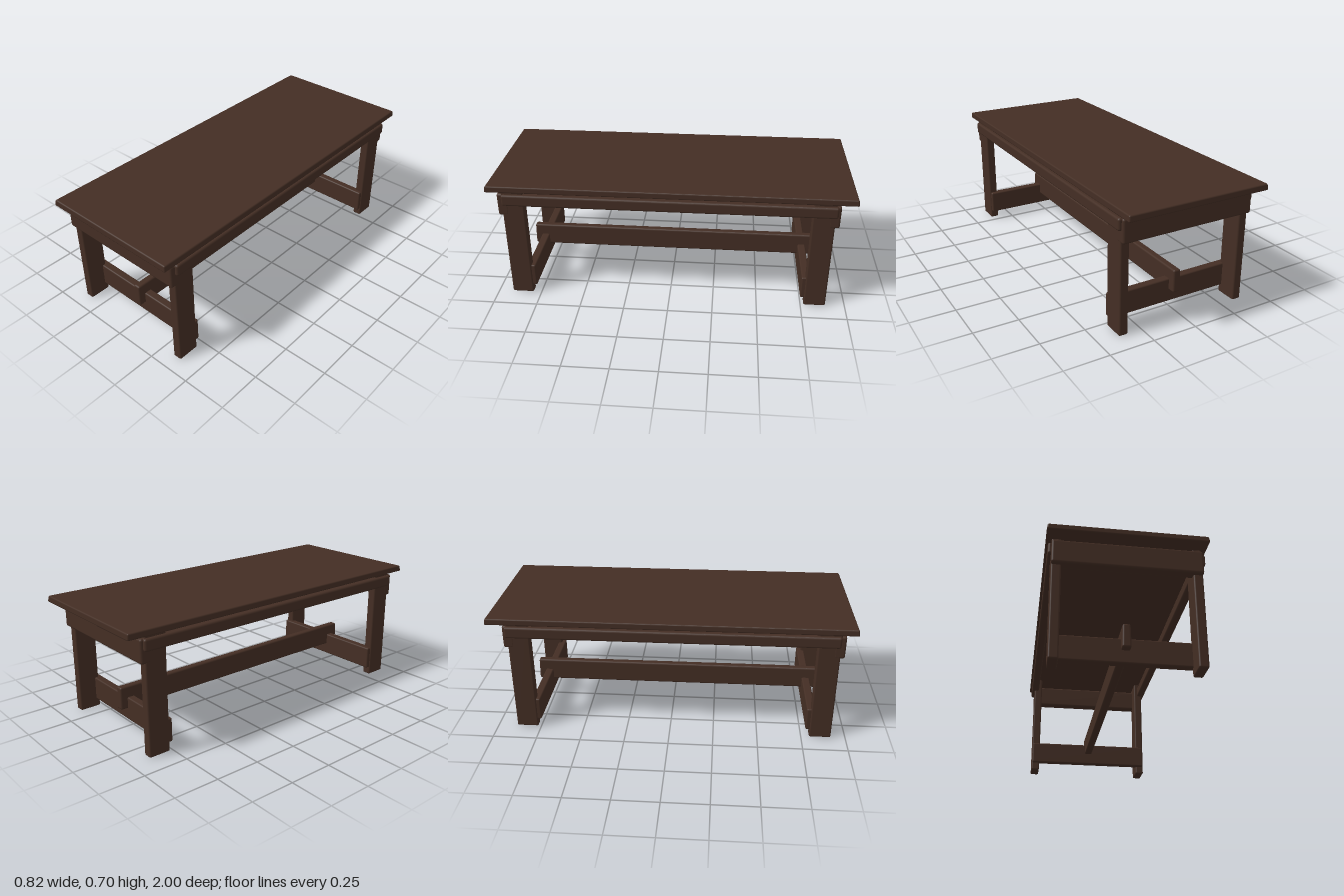
import * as THREE from 'three';
import { RoundedBoxGeometry } from 'three/addons/geometries/RoundedBoxGeometry.js';

const wood = new THREE.MeshStandardMaterial({ color: 0x442e24 });
wood.name = 'dark wood';

// A softly edged timber given by its limits on each axis; taper widens or narrows its upper end
function timber(name, [x0, x1], [y0, y1], [z0, z1], radius = 0.008, taper = 0) {
  const w = x1 - x0, h = y1 - y0, d = z1 - z0;
  const geometry = new RoundedBoxGeometry(w, h, d, 2, radius);
  const p = geometry.attributes.position;
  for (let i = 0; i < p.count; i++) {
    const t = taper * (p.getY(i) / h + 0.5);
    p.setX(i, p.getX(i) - Math.sign(p.getX(i)) * t);
    p.setZ(i, p.getZ(i) - Math.sign(p.getZ(i)) * t);
  }
  const mesh = new THREE.Mesh(geometry, wood);
  mesh.name = name;
  mesh.position.set((x0 + x1) / 2, (y0 + y1) / 2, (z0 + z1) / 2);
  return mesh;
}

export function createModel() {
  const table = new THREE.Group();
  table.name = 'trestleTable';

  // Top board, slightly wider along its lower edge
  table.add(timber('tableTop', [-0.41, 0.408], [0.664, 0.698], [-1, 1], 0.007, 0.005));

  // Two end frames: a pair of legs, an outer apron and an inner stretcher
  const ends = [
    { name: 'front', leg: [0.795, 0.918], apron: [0.88, 0.942], bar: [0.772, 0.818] },
    { name: 'back', leg: [-0.89, -0.767], apron: [-0.915, -0.853], bar: [-0.79, -0.745] },
  ];
  for (const { name, leg, apron, bar } of ends) {
    const frame = new THREE.Group();
    frame.name = name + 'Frame';
    frame.add(
      timber('rightLeg', [-0.38, -0.329], [0.003, 0.668], leg, 0.009),
      timber('leftLeg', [0.333, 0.384], [0.003, 0.668], leg, 0.009),
      timber('apron', [-0.381, 0.385], [0.514, 0.645], apron, 0.012),
      timber('stretcher', [-0.375, 0.378], [0.05, 0.183], bar, 0.008)
    );
    table.add(frame);
  }

  // Long rails beneath the top, set a little below it
  table.add(
    timber('rightRail', [-0.398, -0.35], [0.58, 0.646], [-0.9, 0.915], 0.012),
    timber('leftRail', [0.354, 0.402], [0.58, 0.646], [-0.9, 0.915], 0.012)
  );

  // Centre beam resting across both stretchers
  table.add(timber('centreBeam', [-0.022, 0.025], [0.118, 0.246], [-0.832, 0.858], 0.01, 0.003));

  return table;
}
